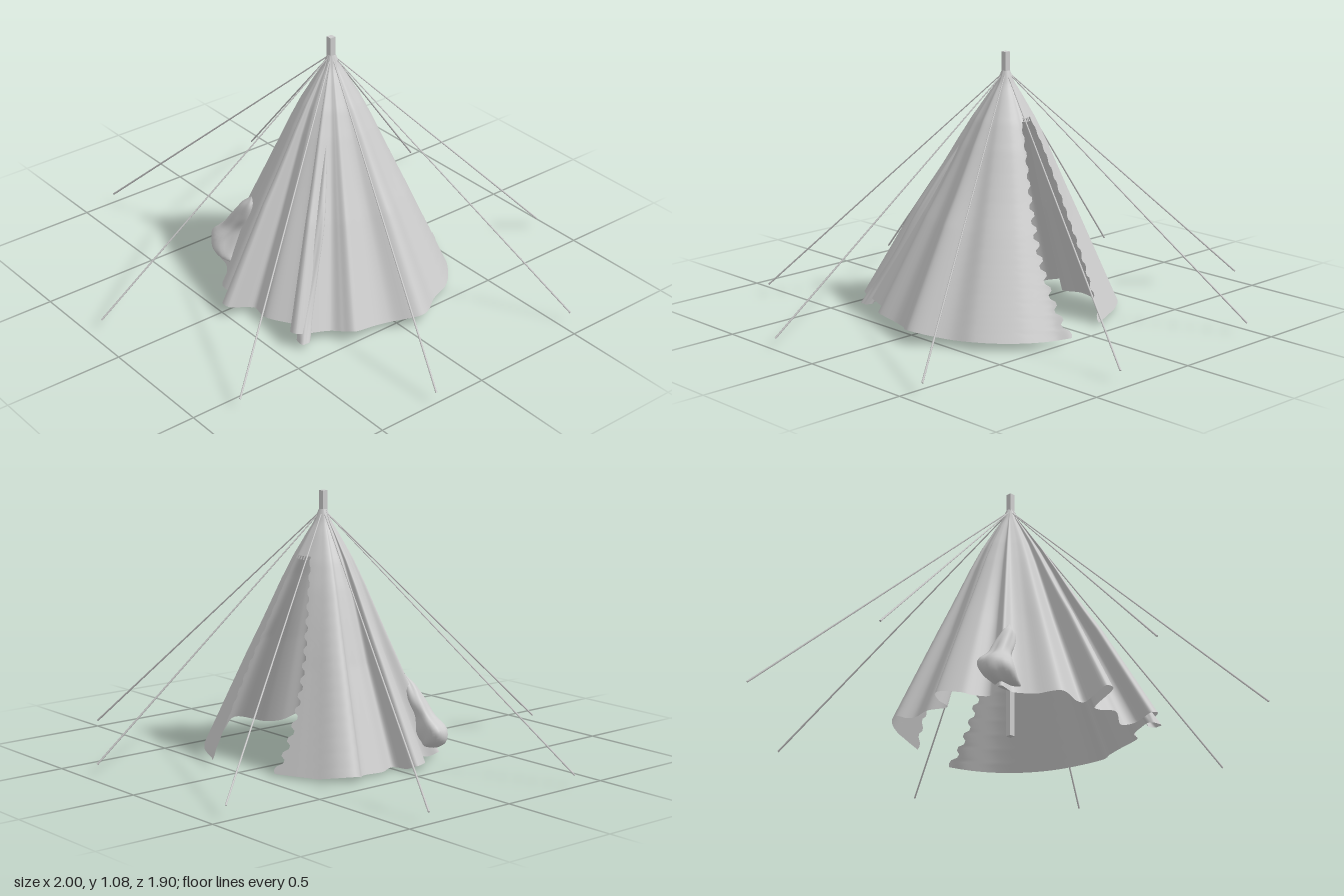
import * as THREE from 'three';

const APEX = new THREE.Vector3(0.025, 1.01, -0.045);
const cloth = new THREE.MeshStandardMaterial({ color: 0xcccccc, side: THREE.DoubleSide });
const solid = new THREE.MeshStandardMaterial({ color: 0xcccccc });

// Hem outline (x, z) from one side of the doorway round to the other
const HEM = [
  [0.12, -0.53], [0.19, -0.49], [0.32, -0.43], [0.45, -0.31], [0.49, -0.21], [0.58, -0.07],
  [0.51, 0.04], [0.49, 0.11], [0.49, 0.21], [0.45, 0.24], [0.41, 0.27], [0.385, 0.42],
  [0.345, 0.42], [0.33, 0.35], [0.27, 0.33], [0.16, 0.40], [0.06, 0.385], [0.045, 0.5],
  [0.005, 0.5], [-0.01, 0.39], [-0.13, 0.40], [-0.21, 0.32], [-0.27, 0.28], [-0.33, 0.27],
  [-0.31, 0.19], [-0.40, 0.13], [-0.45, 0.04], [-0.35, 0.0], [-0.38, -0.08], [-0.37, -0.17],
  [-0.41, -0.23], [-0.37, -0.30], [-0.24, -0.37], [-0.11, -0.43],
];
const LAST = HEM.length - 1;

// Share of the hem radius reached at each share of the height, apex to ground
const PROFILE = [[0, 0.035], [0.05, 0.075], [0.1, 0.14], [0.2, 0.26], [0.3, 0.36], [0.5, 0.54], [0.75, 0.77], [1, 1]];
function profile(t) {
  let i = 1;
  while (i < PROFILE.length - 1 && PROFILE[i][0] < t) i++;
  const [t0, r0] = PROFILE[i - 1], [t1, r1] = PROFILE[i];
  return r0 + (r1 - r0) * (t - t0) / (t1 - t0);
}

// Grid of vertices joined by quads; closed around its columns
function gridGeometry(rows, cols, point, keep = () => true) {
  const pos = [], index = [];
  for (let r = 0; r <= rows; r++) for (let c = 0; c < cols; c++) pos.push(...point(r, c));
  for (let r = 0; r < rows; r++) for (let c = 0; c < cols; c++) {
    if (!keep(r, c)) continue;
    const a = r * cols + c, b = r * cols + (c + 1) % cols;
    index.push(a, b, a + cols, b, b + cols, a + cols);
  }
  const g = new THREE.BufferGeometry();
  g.setAttribute('position', new THREE.Float32BufferAttribute(pos, 3));
  g.setIndex(index);
  g.computeVertexNormals();
  return g;
}

// Draped canvas with a ragged doorway at the back
function canvasGeometry() {
  const ROWS = 72, STEP = 10, DOOR = 0.18;
  const points = [...HEM, [0.01, -0.49]].map(([x, z]) => new THREE.Vector3(x, 0, z));
  const n = points.length;
  const curve = new THREE.CatmullRomCurve3(points, true, 'centripetal');
  const point = (row, col) => {
    const t = row / ROWS;
    let k = col / STEP;
    if (t > DOOR && k <= LAST) {
      // Curve the doorway edges and cut them into small teeth
      const bow = Math.sin(Math.PI * (t - DOOR) / (1 - DOOR)) ** 0.6 || 0;
      const tooth = row % 4 < 2 ? 0.22 : 0;
      if (k < 5) k += (1.0 * bow + tooth) * (1 - k / 5);
      if (k > LAST - 5) k -= (0.6 * bow + tooth * 0.7) * (1 - (LAST - k) / 5);
    }
    const h = curve.getPoint(k / n);
    const dx = h.x - APEX.x, dz = h.z - APEX.z, r = Math.hypot(dx, dz);
    const w = 0.25 + 0.75 * Math.min(1, t / 0.6); // folds fade towards the top
    const s = profile(t) * (w + (1 - w) * 0.46 / r);
    const hemY = 0.012 + Math.max(0, r - 0.44) * 0.4;
    return [APEX.x + dx * s, APEX.y + (hemY - APEX.y) * t, APEX.z + dz * s];
  };
  const keep = (row, col) => {
    const ragged = DOOR + (col % 4 < 2 ? 0.014 : 0);
    return col < LAST * STEP || row / ROWS < ragged;
  };
  return gridGeometry(ROWS, n * STEP, point, keep);
}

// Crumpled bunch of cloth: rings of [x, y, z, radius], top to bottom
function bunchGeometry(rings, flat) {
  const path = new THREE.CatmullRomCurve3(rings.map(([x, y, z]) => new THREE.Vector3(x, y, z)));
  const size = new THREE.SplineCurve(rings.map((q, i) => new THREE.Vector2(i, q[3])));
  const ROWS = 30, COLS = 28;
  return gridGeometry(ROWS, COLS, (row, col) => {
    const t = row / ROWS, a = -col / COLS * Math.PI * 2;
    const p = path.getPoint(t);
    const r = size.getPoint(t).y * (1 + 0.1 * Math.sin(3 * a + 5 * t) + 0.06 * Math.sin(5 * a - 9 * t));
    return [p.x + Math.cos(a) * r, p.y, p.z + Math.sin(a) * r * flat];
  });
}

// Thin straight rope between two points
function rope(from, to) {
  const dir = to.clone().sub(from);
  const m = new THREE.Mesh(new THREE.CylinderGeometry(0.004, 0.0025, dir.length(), 6), solid);
  m.position.copy(from).addScaledVector(dir, 0.5);
  m.quaternion.setFromUnitVectors(new THREE.Vector3(0, 1, 0), dir.normalize());
  m.name = 'guyRope';
  return m;
}

export function createModel() {
  const model = new THREE.Group();
  model.name = 'tent';
  const add = (name, geometry, material) => {
    const m = new THREE.Mesh(geometry, material);
    m.name = name;
    model.add(m);
    return m;
  };

  add('canvas', canvasGeometry(), cloth);

  // Bunched cloth on the right front
  add('bunchedFold', bunchGeometry([
    [-0.205, 0.34, 0.19, 0.004], [-0.22, 0.30, 0.20, 0.03], [-0.25, 0.24, 0.21, 0.045],
    [-0.285, 0.18, 0.225, 0.05], [-0.315, 0.13, 0.24, 0.075], [-0.305, 0.08, 0.25, 0.075],
    [-0.27, 0.045, 0.255, 0.05], [-0.26, 0.04, 0.255, 0.004],
  ], 0.75), cloth);

  // Overlapping pleat on the left front
  add('pleat', bunchGeometry([
    [0.13, 0.76, 0.06, 0.004], [0.2, 0.58, 0.14, 0.018], [0.26, 0.42, 0.21, 0.025],
    [0.31, 0.26, 0.28, 0.024], [0.36, 0.1, 0.36, 0.03], [0.39, 0.03, 0.39, 0.03],
  ], 0.8), cloth);

  const pole = add('pole', new THREE.BoxGeometry(0.024, 1.08, 0.024), solid);
  pole.position.set(APEX.x, 0.545, APEX.z + 0.002);

  // Guy ropes fanning out to the ground
  const ropes = new THREE.Group();
  ropes.name = 'guyRopes';
  const top = new THREE.Vector3(APEX.x, 1.01, APEX.z);
  for (const [x, z] of [[-0.46, -0.91], [0.32, -0.95], [0.93, -0.545], [0.995, 0.23],
    [0.565, 0.83], [-0.2, 0.945], [-0.995, 0.36], [-0.998, -0.405]]) {
    ropes.add(rope(top, new THREE.Vector3(x, 0.05, z)));
  }
  model.add(ropes);
  return model;
}
